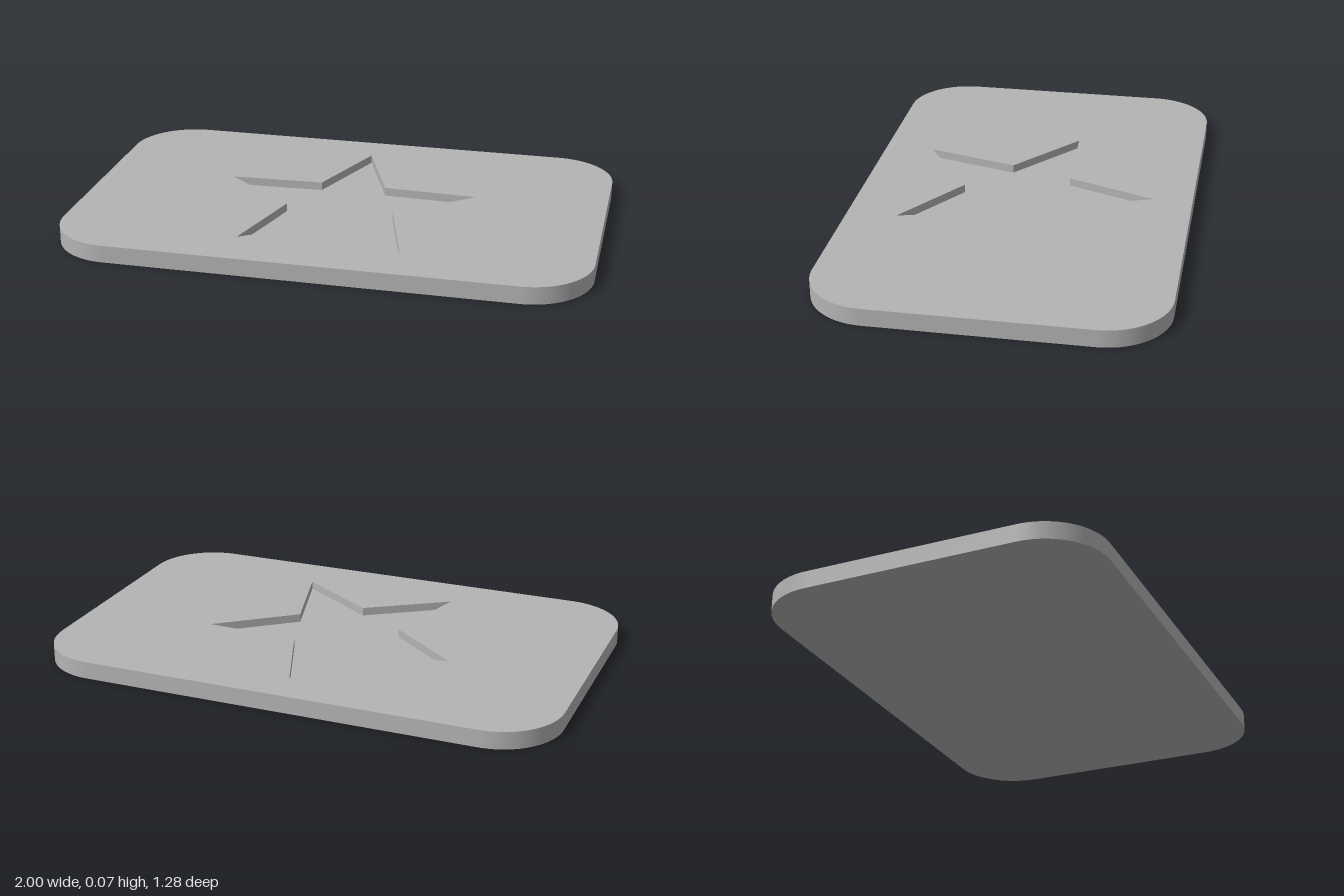
import * as THREE from 'three';

const HEIGHT = 0.066, FLOOR = 0.034; // plate top and recess floor
const HALF_W = 1, HALF_D = 0.64, RADIUS = 0.24, STEPS = 24;

// Rounded rectangle, counter-clockwise as seen from above (plan y = -z)
function plateOutline() {
  const points = [];
  [[1, 1], [-1, 1], [-1, -1], [1, -1]].forEach(([sx, sy], corner) => {
    for (let i = 0; i <= STEPS; i++) {
      const a = (corner + i / STEPS) * Math.PI / 2;
      points.push(new THREE.Vector2(
        sx * (HALF_W - RADIUS) + RADIUS * Math.cos(a),
        sy * (HALF_D - RADIUS) + RADIUS * Math.sin(a)));
    }
  });
  return points;
}

// Five-pointed star, right half mirrored to the left, counter-clockwise
function starOutline() {
  const half = [[0, -0.25], [0.305, -0.45], [0.208, -0.095], [0.492, 0.131], [0.129, 0.146], [0, 0.49]];
  const mirrored = half.slice(1, -1).reverse().map(([x, y]) => [-x, y]);
  return [...half, ...mirrored].map(([x, y]) => new THREE.Vector2(x, y));
}

// Vertical band around a loop; faces outward for a counter-clockwise loop
function wallGeometry(loop, y0, y1, smooth) {
  const positions = [], index = [], n = loop.length;
  loop.forEach((p, i) => {
    positions.push(p.x, y0, -p.y, p.x, y1, -p.y);
    const a = 2 * i, b = 2 * ((i + 1) % n);
    index.push(a, b, b + 1, a, b + 1, a + 1);
  });
  let geometry = new THREE.BufferGeometry();
  geometry.setAttribute('position', new THREE.Float32BufferAttribute(positions, 3));
  geometry.setIndex(index);
  if (!smooth) geometry = geometry.toNonIndexed();
  geometry.computeVertexNormals();
  return geometry;
}

// Horizontal face, looking up (dir = 1) or down (dir = -1)
function flatGeometry(shape, y, dir) {
  return new THREE.ShapeGeometry(shape).rotateX(-dir * Math.PI / 2).translate(0, y, 0);
}

export function createModel() {
  const group = new THREE.Group();
  group.name = 'starPlate';
  const grey = new THREE.MeshStandardMaterial({ color: 0xb4b4b4 });
  grey.name = 'grey';
  const add = (name, geometry) => {
    const mesh = new THREE.Mesh(geometry, grey);
    mesh.name = name;
    group.add(mesh);
  };

  const plate = plateOutline(), star = starOutline();
  const topShape = new THREE.Shape(plate);
  topShape.holes.push(new THREE.Path(star));

  // Plate
  add('plateTop', flatGeometry(topShape, HEIGHT, 1));
  add('plateBottom', flatGeometry(new THREE.Shape(plate), 0, -1));
  add('plateRim', wallGeometry(plate, 0, HEIGHT, true));

  // Star-shaped recess
  add('starFloor', flatGeometry(new THREE.Shape(star), FLOOR, 1));
  add('starWalls', wallGeometry([...star].reverse(), FLOOR, HEIGHT, false));

  return group;
}
